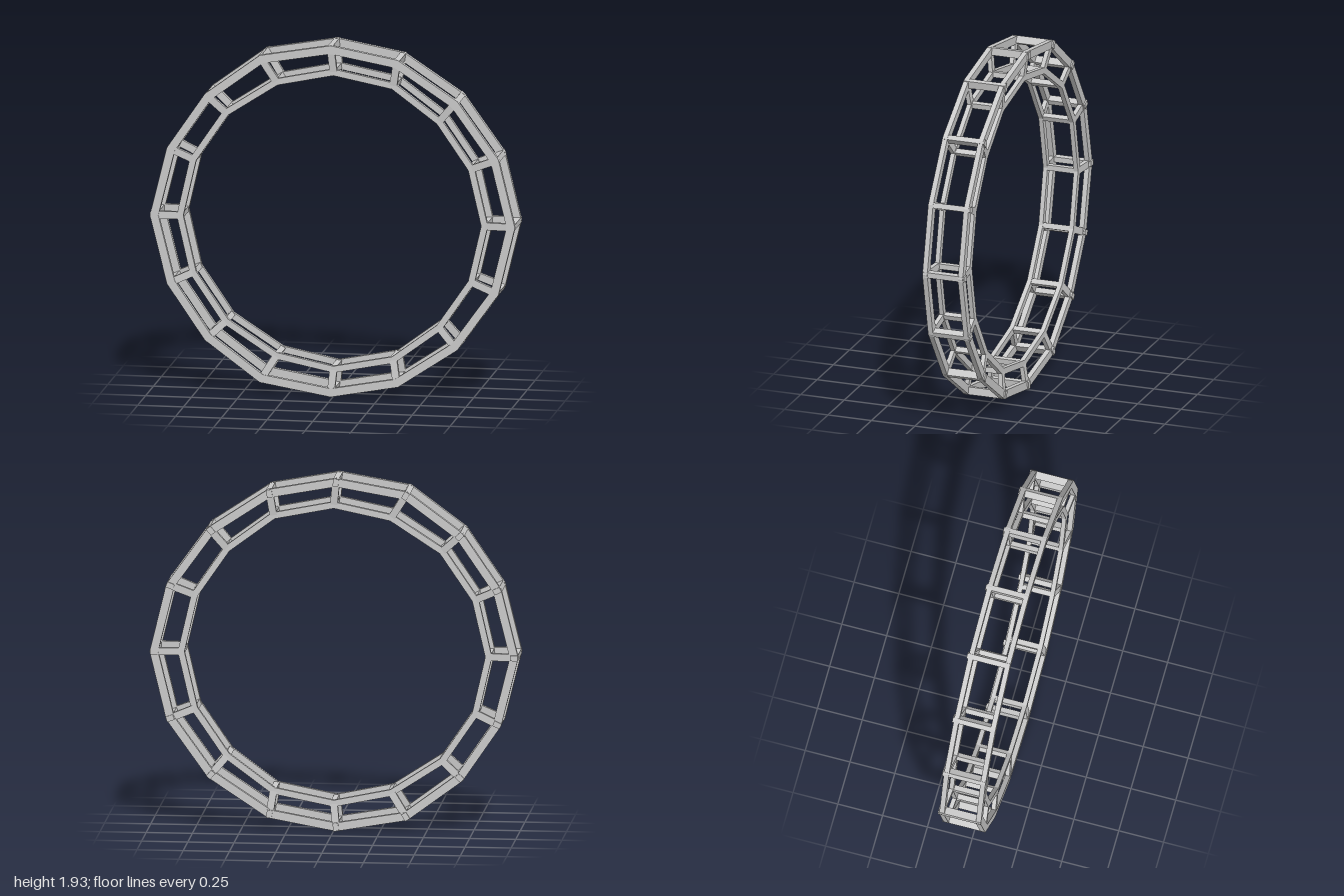
import * as THREE from 'three';

const CENTER_Y = 0.968;
// Upper half of each polygon, right to left; the lower half is its mirror image.
const OUTER_HALF = [[0.995, 0], [0.905, 0.372], [0.68, 0.685], [0.355, 0.9], [-0.013, 0.967],
  [-0.4, 0.9], [-0.7, 0.678], [-0.907, 0.375], [-1, 0]];
const INNER_HALF = [[0.808, 0], [0.737, 0.305], [0.565, 0.555], [0.32, 0.737], [0, 0.8],
  [-0.305, 0.737], [-0.575, 0.562], [-0.75, 0.305], [-0.82, 0]];

const fullLoop = (half) => [...half, ...half.slice(1, -1).reverse().map(([x, y]) => [x, -y])]
  .map(([x, y]) => new THREE.Vector2(x, y));
const grown = (loop, amount) => loop.map((p) => p.clone().setLength(p.length() + amount));

export function createModel() {
  const model = new THREE.Group();
  model.name = 'ringTruss';
  const material = new THREE.MeshStandardMaterial({ color: 0xcccccc, flatShading: true });

  const add = (name, geometry) => {
    const mesh = new THREE.Mesh(geometry, material);
    mesh.name = name;
    model.add(mesh);
    return mesh;
  };

  // Flat mitred polygon frame centred on the plane z
  const addRing = (name, outside, inside, depth, z) => {
    const shape = new THREE.Shape(outside);
    shape.holes.push(new THREE.Path(inside));
    const geometry = new THREE.ExtrudeGeometry(shape, { depth, bevelEnabled: false });
    add(name, geometry).position.set(0, CENTER_Y, z - depth / 2);
  };

  // Square-edged bar from a to b; "side" is the direction its width runs along
  const addBar = (name, a, b, side, width, thickness) => {
    const along = b.clone().sub(a);
    const y = along.clone().normalize();
    const z = new THREE.Vector3().crossVectors(side, y).normalize();
    const x = new THREE.Vector3().crossVectors(y, z);
    const bar = add(name, new THREE.BoxGeometry(width, along.length(), thickness));
    bar.quaternion.setFromRotationMatrix(new THREE.Matrix4().makeBasis(x, y, z));
    bar.position.copy(a).add(b).multiplyScalar(0.5);
    bar.position.y += CENTER_Y;
  };

  const outer = fullLoop(OUTER_HALF);
  const inner = fullLoop(INNER_HALF);
  const outerMid = grown(outer, -0.023);
  const innerMid = grown(inner, 0.017);
  const OUTER_Z = 0.102, INNER_Z = 0.088;

  // Four rings: outer and inner chords on the front and back
  for (const [place, s] of [['front', 1], ['back', -1]]) {
    addRing(place + 'OuterRing', outer, grown(outer, -0.046), 0.028, s * OUTER_Z);
    addRing(place + 'InnerRing', grown(inner, 0.036), inner, 0.025, s * INNER_Z);
  }

  // Bracing frame at each corner of the polygons
  outer.forEach((_, i) => {
    const o = outerMid[i], n = innerMid[i];
    const radial = new THREE.Vector3(o.x - n.x, o.y - n.y, 0).normalize();
    const tangent = new THREE.Vector3(-radial.y, radial.x, 0);
    const at = (p, z) => new THREE.Vector3(p.x, p.y, z);

    for (const [place, s] of [['front', 1], ['back', -1]]) {
      addBar(place + 'Spoke', at(n, s * INNER_Z), at(o, s * OUTER_Z), tangent, 0.04, 0.024);
    }
    addBar('outerCrossbar', at(o, -0.124), at(o, 0.115), tangent, 0.03, 0.042);
    addBar('innerCrossbar', at(n, -INNER_Z), at(n, INNER_Z), tangent, 0.03, 0.03);
  });

  return model;
}
